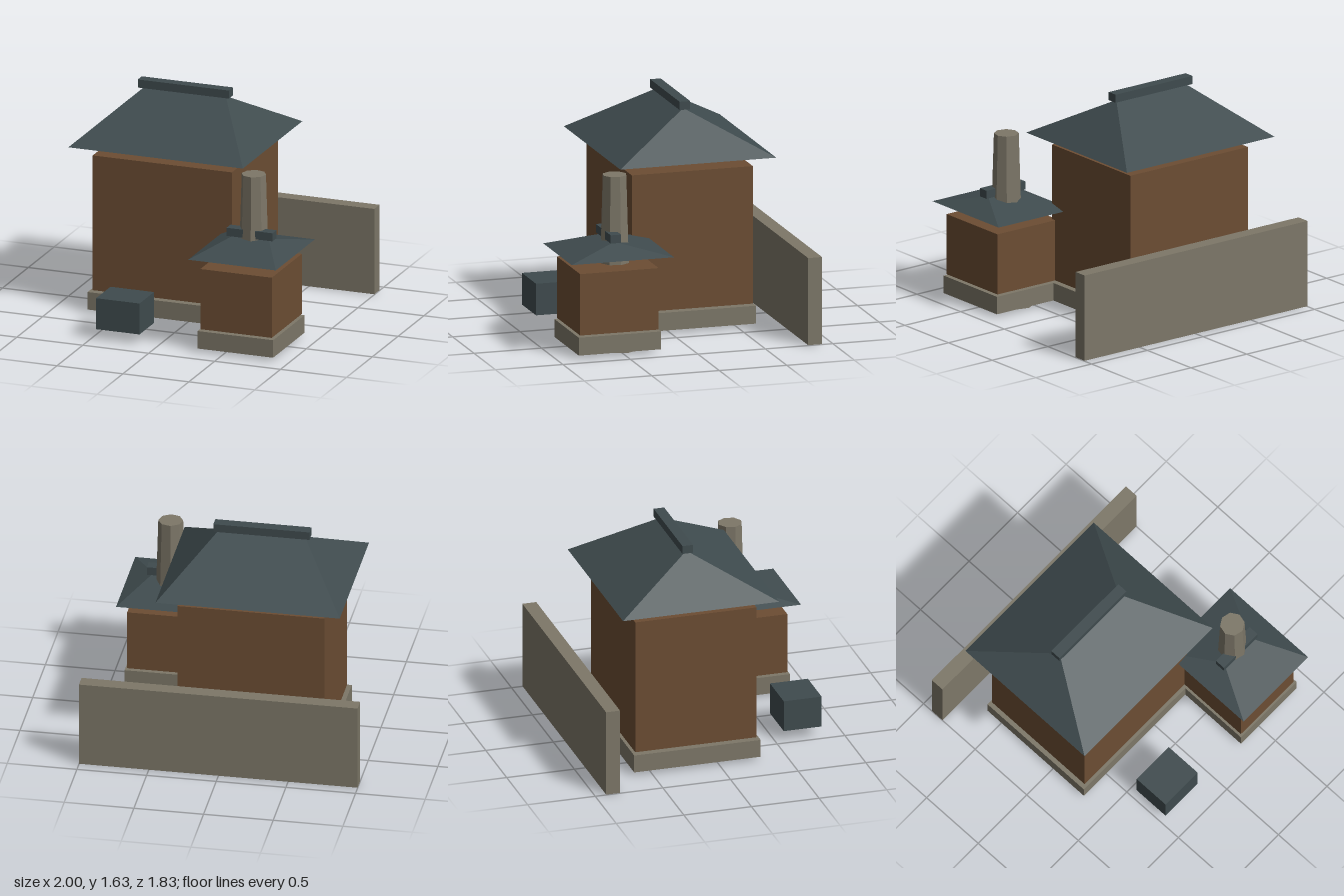
import * as THREE from 'three';

function material(name, color) {
  const m = new THREE.MeshStandardMaterial({ color, side: THREE.DoubleSide, flatShading: true });
  m.name = name;
  return m;
}

// Box given by its extents, left open underneath
function openBox(x0, x1, y0, y1, z0, z1) {
  const g = new THREE.BoxGeometry(x1 - x0, y1 - y0, z1 - z0);
  const index = Array.from(g.index.array);
  index.splice(18, 6); // drop the downward face
  g.setIndex(index);
  g.clearGroups();
  g.translate((x0 + x1) / 2, (y0 + y1) / 2, (z0 + z1) / 2);
  return g;
}

// Hipped roof with its ridge along x, open underneath
function hipRoof(x0, x1, z0, z1, y0, y1, r0, r1) {
  const zm = (z0 + z1) / 2;
  const a = [x0, y0, z1], b = [x1, y0, z1], c = [x1, y0, z0], d = [x0, y0, z0];
  const p = [r0, y1, zm], q = [r1, y1, zm];
  const corners = [a, b, q, a, q, p, b, c, q, c, d, p, c, p, q, d, a, p];
  const g = new THREE.BufferGeometry();
  g.setAttribute('position', new THREE.Float32BufferAttribute(corners.flat(), 3));
  g.computeVertexNormals();
  return g;
}

// Tapered eight-sided shaft
function octagon(rTop, rBottom, y0, y1, x, z, open) {
  const g = new THREE.CylinderGeometry(rTop, rBottom, y1 - y0, 8, 1, open);
  g.rotateY(0.15);
  g.translate(x, (y0 + y1) / 2, z);
  return g;
}

export function createModel() {
  const model = new THREE.Group();
  const stone = material('stone', 0x7d7768);
  const wood = material('wood', 0x6c4d33);
  const slate = material('slate', 0x3f4b4e);

  const add = (name, geometry, mat) => {
    const mesh = new THREE.Mesh(geometry, mat);
    mesh.name = name;
    model.add(mesh);
  };

  // Main house
  add('mainFoundation', openBox(-0.735, 0.375, 0.025, 0.155, -0.63, 0.305), stone);
  add('mainWalls', openBox(-0.705, 0.35, 0.166, 1.167, -0.613, 0.283), wood);
  add('mainRoof', hipRoof(-0.84, 0.483, -0.745, 0.41, 1.25, 1.57, -0.484, 0.127), slate);
  add('mainRidge', openBox(-0.525, 0.165, 1.567, 1.627, -0.208, -0.13), slate);

  // Small front annex
  add('annexFoundation', openBox(0.31, 0.883, 0.025, 0.155, 0.235, 0.845), stone);
  add('annexWalls', openBox(0.325, 0.867, 0.166, 0.613, 0.248, 0.83), wood);
  add('annexRoof', hipRoof(0.265, 0.93, 0.155, 0.913, 0.7, 0.793, 0.467, 0.728), slate);
  add('annexRidge', openBox(0.423, 0.771, 0.793, 0.853, 0.496, 0.573), slate);

  // Chimney rising from a wide hearth
  add('hearth', octagon(0.175, 0.222, 0, 0.5, 0.598, 0.49, true), stone);
  add('chimney', octagon(0.088, 0.116, 0.3, 1.25, 0.598, 0.49, false), stone);

  // Yard
  add('yardWall', openBox(-1, 1, 0.003, 0.637, -0.92, -0.817), stone);
  add('storageBox', openBox(-0.462, -0.132, 0.075, 0.305, 0.56, 0.84), slate);

  return model;
}
